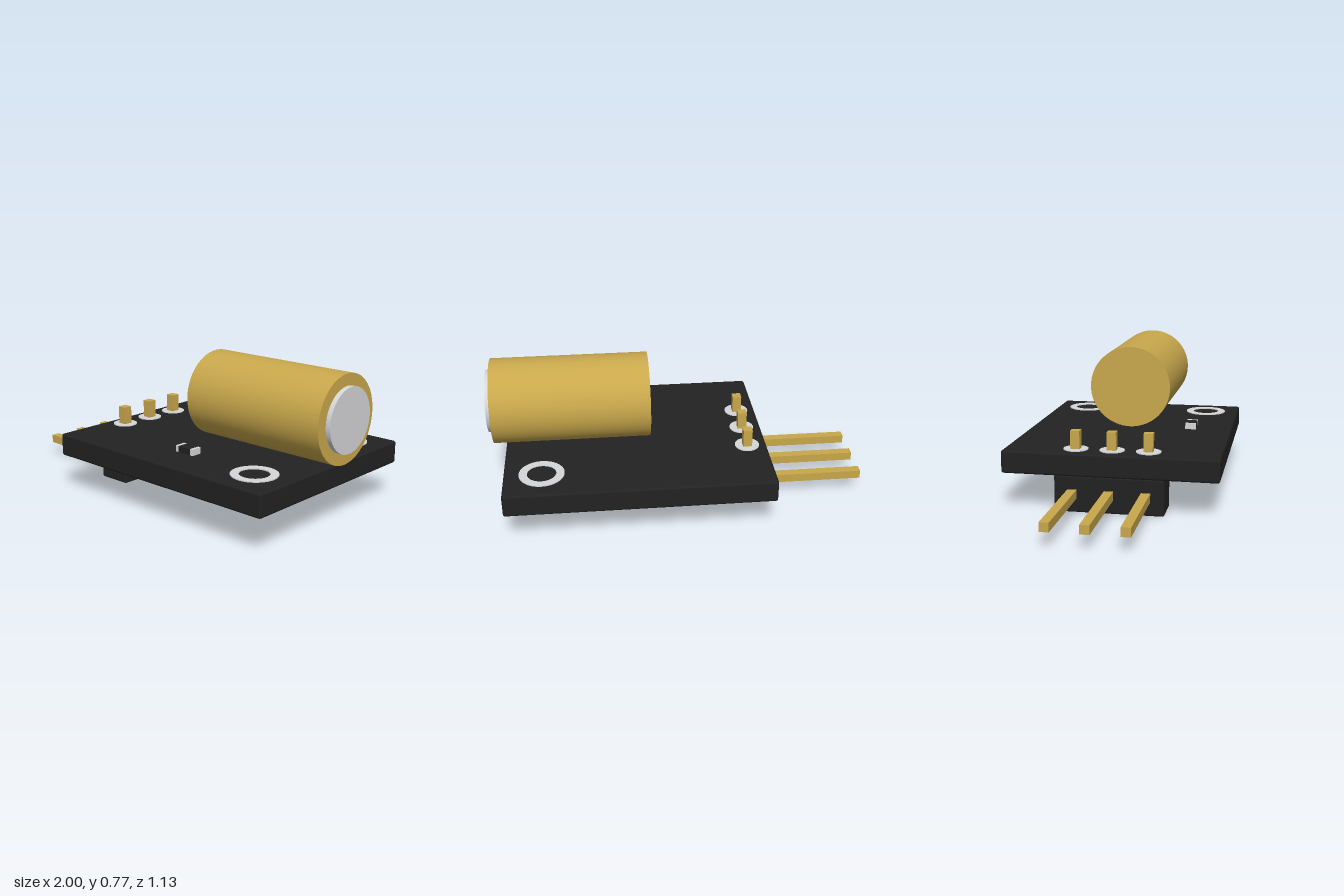
import * as THREE from 'three';
import { RoundedBoxGeometry } from 'three/addons/geometries/RoundedBoxGeometry.js';

const mat = (name, color) => new THREE.MeshStandardMaterial({ name, color });

export function createModel() {
  const black = mat('black', 0x222222);
  const gold = mat('gold', 0xc9a84c);
  const silver = mat('silver', 0xd6d7d9);
  const root = new THREE.Group();
  root.name = 'laserDiodeModule';

  const add = (name, geometry, material, x, y, z) => {
    const mesh = new THREE.Mesh(geometry, material);
    mesh.name = name;
    mesh.position.set(x, y, z);
    root.add(mesh);
    return mesh;
  };
  // Box given by its lower and upper corners
  const box = (name, material, a, b, radius = 0) => {
    const s = a.map((v, i) => b[i] - v);
    const c = a.map((v, i) => (b[i] + v) / 2);
    const geo = radius ? new RoundedBoxGeometry(...s, 2, radius) : new THREE.BoxGeometry(...s);
    return add(name, geo, material, ...c);
  };
  // Flat solder ring lying on the board
  const ring = (name, inner, outer, x, z) => {
    const shape = new THREE.Shape().absarc(0, 0, outer, 0, Math.PI * 2, false);
    shape.holes.push(new THREE.Path().absarc(0, 0, inner, 0, Math.PI * 2, true));
    const geo = new THREE.ExtrudeGeometry(shape, { depth: 0.006, bevelEnabled: false, curveSegments: 32 });
    geo.rotateX(-Math.PI / 2);
    add(name, geo, silver, x, 0.309, z);
  };

  // Circuit board and the pin header under it
  box('board', black, [-0.47, 0.19, -0.563], [0.92, 0.31, 0.563], 0.012);
  box('headerBlock', black, [-0.46, 0, -0.285], [-0.27, 0.192, 0.285], 0.01);

  // Right-angle pins with their solder pads
  for (const z of [-0.19, 0, 0.19]) {
    box('horizontalPin', gold, [-1, 0.074, z - 0.024], [-0.36, 0.12, z + 0.024]);
    box('verticalPin', gold, [-0.389, 0.08, z - 0.024], [-0.341, 0.41, z + 0.024]);
    ring('pinPad', 0.022, 0.065, -0.365, z);
  }

  // Mounting hole rings
  for (const z of [-0.37, 0.37]) ring('mountingRing', 0.075, 0.117, 0.725, z);

  // Brass barrel and its lens
  const barrel = new THREE.CylinderGeometry(0.225, 0.225, 0.825, 64).rotateZ(-Math.PI / 2);
  add('barrel', barrel, gold, 0.5625, 0.55, 0);
  const lens = new THREE.CylinderGeometry(0.165, 0.165, 0.045, 48).rotateZ(-Math.PI / 2);
  add('lens', lens, silver, 0.9775, 0.55, 0);

  // Surface-mount resistor with metal ends
  box('resistorBody', black, [0.222, 0.309, 0.307], [0.302, 0.342, 0.365]);
  for (const x of [0.204, 0.302]) {
    box('resistorEnd', silver, [x, 0.309, 0.306], [x + 0.018, 0.343, 0.366]);
  }
  return root;
}
